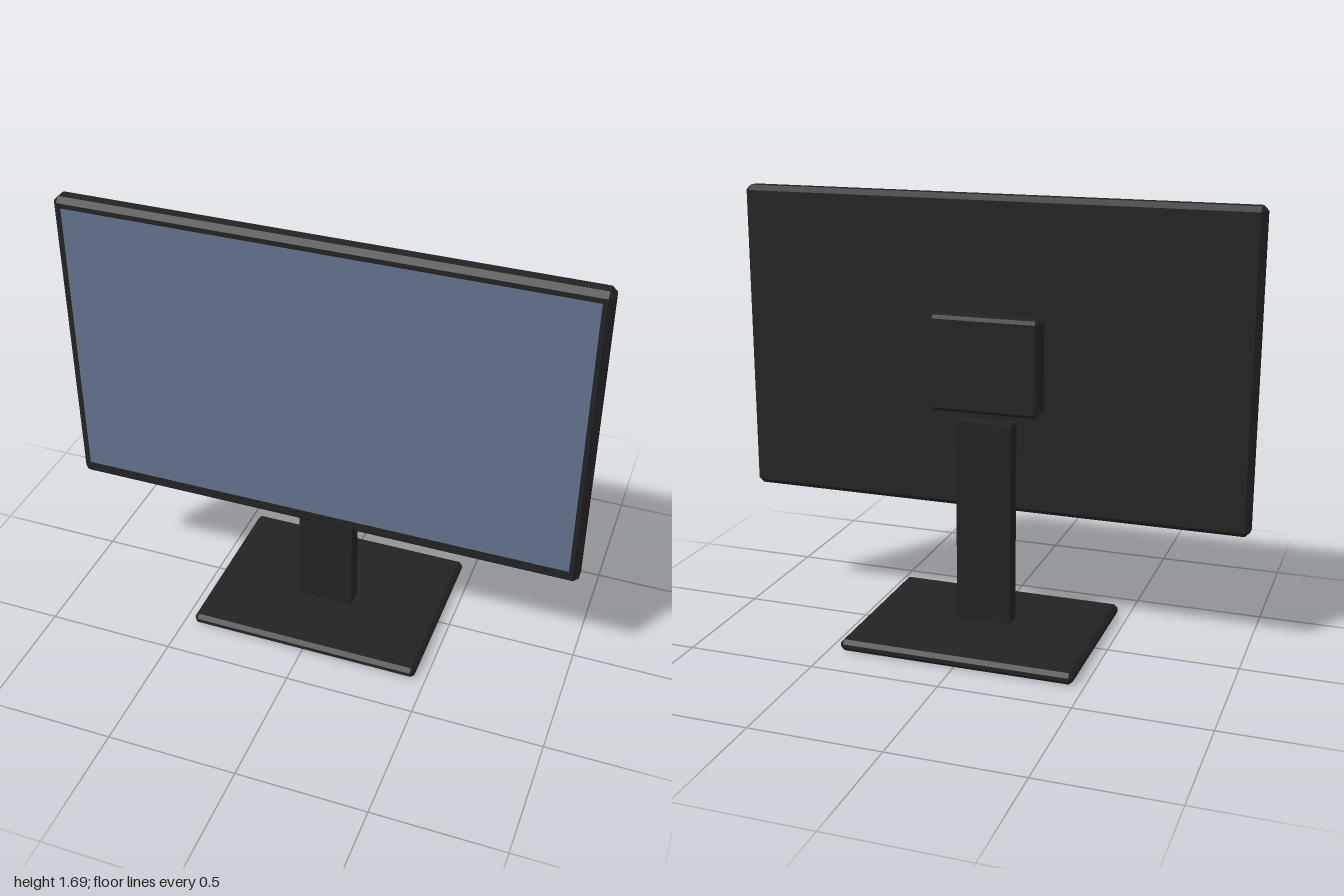
import * as THREE from 'three';
import { ConvexGeometry } from 'three/addons/geometries/ConvexGeometry.js';

// Box with every edge chamfered by c, given as [min, max] ranges
function chamferBox([x0, x1], [y0, y1], [z0, z1], c) {
  const half = [(x1 - x0) / 2, (y1 - y0) / 2, (z1 - z0) / 2];
  const points = [];
  for (const sx of [-1, 1]) for (const sy of [-1, 1]) for (const sz of [-1, 1]) {
    const signs = [sx, sy, sz];
    // each corner becomes three points, one on each adjoining face
    for (let face = 0; face < 3; face++) {
      points.push(new THREE.Vector3(...signs.map((s, i) => s * (half[i] - (i === face ? 0 : c)))));
    }
  }
  return new ConvexGeometry(points).translate((x0 + x1) / 2, (y0 + y1) / 2, (z0 + z1) / 2);
}

function plainBox([x0, x1], [y0, y1], [z0, z1]) {
  return new THREE.BoxGeometry(x1 - x0, y1 - y0, z1 - z0)
    .translate((x0 + x1) / 2, (y0 + y1) / 2, (z0 + z1) / 2);
}

export function createModel() {
  const model = new THREE.Group();
  model.name = 'monitor';

  const plastic = new THREE.MeshStandardMaterial({ color: 0x232323 });
  plastic.name = 'black plastic';
  const glass = new THREE.MeshStandardMaterial({ color: 0x62728d });
  glass.name = 'blue grey screen';

  const add = (name, geometry, material) => {
    const mesh = new THREE.Mesh(geometry, material);
    mesh.name = name;
    model.add(mesh);
  };

  // Stand
  add('base', chamferBox([-0.457, 0.457], [0, 0.045], [-0.345, 0.345], 0.015), plastic);
  add('neck', plainBox([-0.108, 0.108], [0.03, 0.847], [0, 0.073]), plastic);

  // Display
  add('housing', chamferBox([-1, 1], [0.483, 1.69], [0.072, 0.15], 0.019), plastic);
  add('screen', plainBox([-0.965, 0.965], [0.54, 1.652], [0.146, 0.152]), glass);

  // Block on the back of the housing
  add('rearMount', chamferBox([-0.213, 0.213], [0.883, 1.25], [-0.01, 0.09], 0.013), plastic);

  return model;
}
